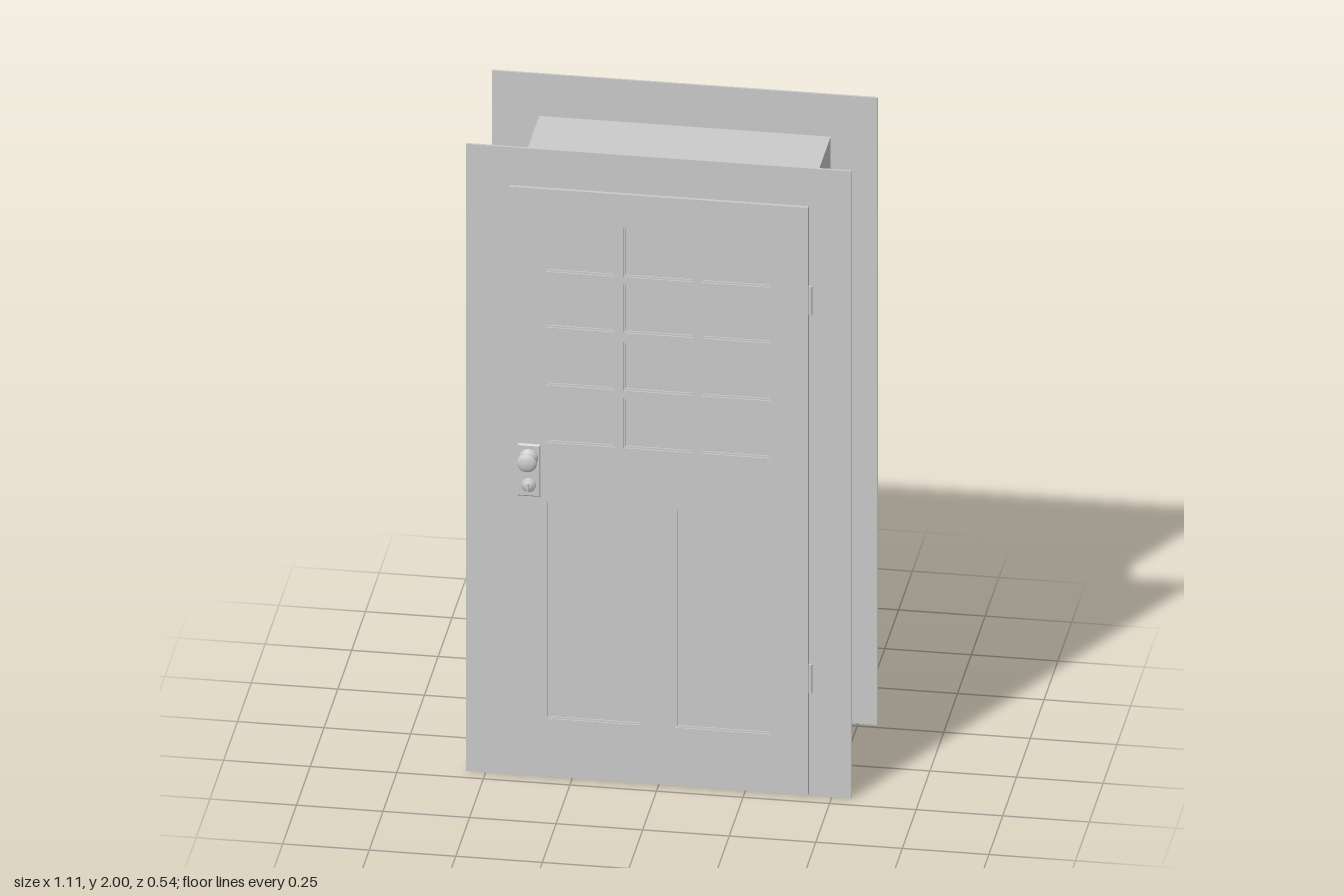
import * as THREE from 'three';

const grey = new THREE.MeshStandardMaterial({ color: 0xcccccc });

function add(parent, name, geometry, x = 0, y = 0, z = 0) {
  const mesh = new THREE.Mesh(geometry, grey);
  mesh.name = name;
  mesh.position.set(x, y, z);
  parent.add(mesh);
  return mesh;
}

// Box given by its limits on each axis
function block(parent, name, x0, x1, y0, y1, z0, z1) {
  return add(parent, name, new THREE.BoxGeometry(x1 - x0, y1 - y0, z1 - z0),
    (x0 + x1) / 2, (y0 + y1) / 2, (z0 + z1) / 2);
}

function rectPath(path, x0, x1, y0, y1) {
  path.moveTo(x0, y0);
  path.lineTo(x1, y0);
  path.lineTo(x1, y1);
  path.lineTo(x0, y1);
  path.closePath();
  return path;
}

// Flat trim of three boards with mitred upper corners
function casing(name, inX, inY, z0, depth) {
  const group = new THREE.Group();
  group.name = name;
  const w = 0.557, h = 2;
  const boards = {
    leftBoard: [[inX, 0], [w, 0], [w, h], [inX, inY]],
    rightBoard: [[-w, 0], [-inX, 0], [-inX, inY], [-w, h]],
    headBoard: [[-inX, inY], [inX, inY], [w, h], [-w, h]],
  };
  for (const [part, pts] of Object.entries(boards)) {
    const shape = new THREE.Shape(pts.map(p => new THREE.Vector2(...p)));
    add(group, part, new THREE.ExtrudeGeometry(shape, { depth, bevelEnabled: false }), 0, 0, z0);
  }
  return group;
}

// Side and head linings between two depths
function lining(parent, name, x, y, z0, z1, t) {
  const group = new THREE.Group();
  group.name = name;
  for (const s of [-1, 1]) {
    const a = s * x, b = s * (x - t);
    block(group, s > 0 ? 'leftJamb' : 'rightJamb', Math.min(a, b), Math.max(a, b), 0, y, z0, z1);
  }
  block(group, 'headJamb', -x + t, x - t, y - t, y, z0, z1);
  parent.add(group);
}

// Turned part whose axis points along +z
function turned(parent, name, profile, y) {
  const geo = new THREE.LatheGeometry(profile.map(p => new THREE.Vector2(...p)), 24);
  geo.rotateX(Math.PI / 2);
  return add(parent, name, geo, 0, y, 0);
}

// Back plate, knob and lock, resting on z = 0
function handleSet(name) {
  const group = new THREE.Group();
  group.name = name;
  const plate = rectPath(new THREE.Shape(), -0.029, 0.029, 0.901, 1.059);
  add(group, 'plate', new THREE.ExtrudeGeometry(plate, {
    depth: 0.003, bevelThickness: 0.004, bevelSize: 0.004, bevelSegments: 1,
  }));
  turned(group, 'rose', [[0.027, 0.006], [0.026, 0.011], [0.018, 0.019], [0.011, 0.022], [0, 0.022]], 1.022);
  turned(group, 'knob', [[0.011, 0.018], [0.009, 0.03], [0.014, 0.034], [0.025, 0.037], [0.029, 0.042],
    [0.028, 0.046], [0.022, 0.051], [0.012, 0.054], [0, 0.055]], 1.022);
  turned(group, 'lockCylinder', [[0.021, 0.006], [0.021, 0.011], [0.017, 0.014], [0.012, 0.014],
    [0.012, 0.02], [0, 0.02]], 0.935);
  block(group, 'thumbTurn', -0.003, 0.003, 0.923, 0.947, 0.018, 0.026);
  return group;
}

export function createModel() {
  const model = new THREE.Group();
  model.name = 'doorway';

  // Trim on both faces and the deep lining between
  model.add(casing('frontCasing', 0.434, 1.879, 0.202, 0.007));
  model.add(casing('backCasing', 0.418, 1.863, -0.272, 0.007));
  lining(model, 'lining', 0.421, 1.866, -0.268, 0.183, 0.003);
  lining(model, 'rebate', 0.43, 1.873, 0.181, 0.205, 0.012);

  // Door leaf with openings for panes and panels
  const door = new THREE.Group();
  door.name = 'door';
  model.add(door);
  const back = 0.184, front = 0.217, recess = 0.008;
  const leaf = rectPath(new THREE.Shape(), -0.433, 0.433, 0.006, 1.878);
  const openings = [];
  const rows = [[1.07, 1.23], [1.253, 1.408], [1.437, 1.594], [1.615, 1.773]];
  for (const [y0, y1] of rows)
    for (const x of [-0.226, 0, 0.226]) openings.push(['pane', x - 0.1, x + 0.1, y0, y1]);
  for (const x of [-0.187, 0.187]) openings.push(['panel', x - 0.138, x + 0.138, 0.19, 0.886]);
  for (const [name, ...r] of openings) {
    leaf.holes.push(rectPath(new THREE.Path(), ...r));
    block(door, name, ...r, back + recess, front - recess);
    // Slim bead just inside each opening
    const [x0, x1, y0, y1] = r, b = 0.005;
    const bead = rectPath(new THREE.Shape(), x0, x1, y0, y1);
    bead.holes.push(rectPath(new THREE.Path(), x0 + b, x1 - b, y0 + b, y1 - b));
    add(door, name + 'Bead', new THREE.ExtrudeGeometry(bead, {
      depth: front - back - 0.008, bevelEnabled: false,
    }), 0, 0, back + 0.004);
  }
  add(door, 'leaf', new THREE.ExtrudeGeometry(leaf, { depth: front - back, bevelEnabled: false }), 0, 0, back);

  // Handles outside and inside
  const outer = handleSet('outerHandle');
  outer.position.set(-0.373, 0, front);
  const inner = handleSet('innerHandle');
  inner.position.set(-0.373, 0, back);
  inner.rotation.y = Math.PI;
  door.add(outer, inner);

  // Hinge barrels and latch plate at the door edges
  for (const y of [0.376, 1.582])
    add(model, 'hinge', new THREE.CylinderGeometry(0.006, 0.006, 0.09, 12), 0.439, y, 0.213);
  block(model, 'strikePlate', -0.438, -0.43, 0.897, 1.067, 0.19, 0.213);

  return model;
}
